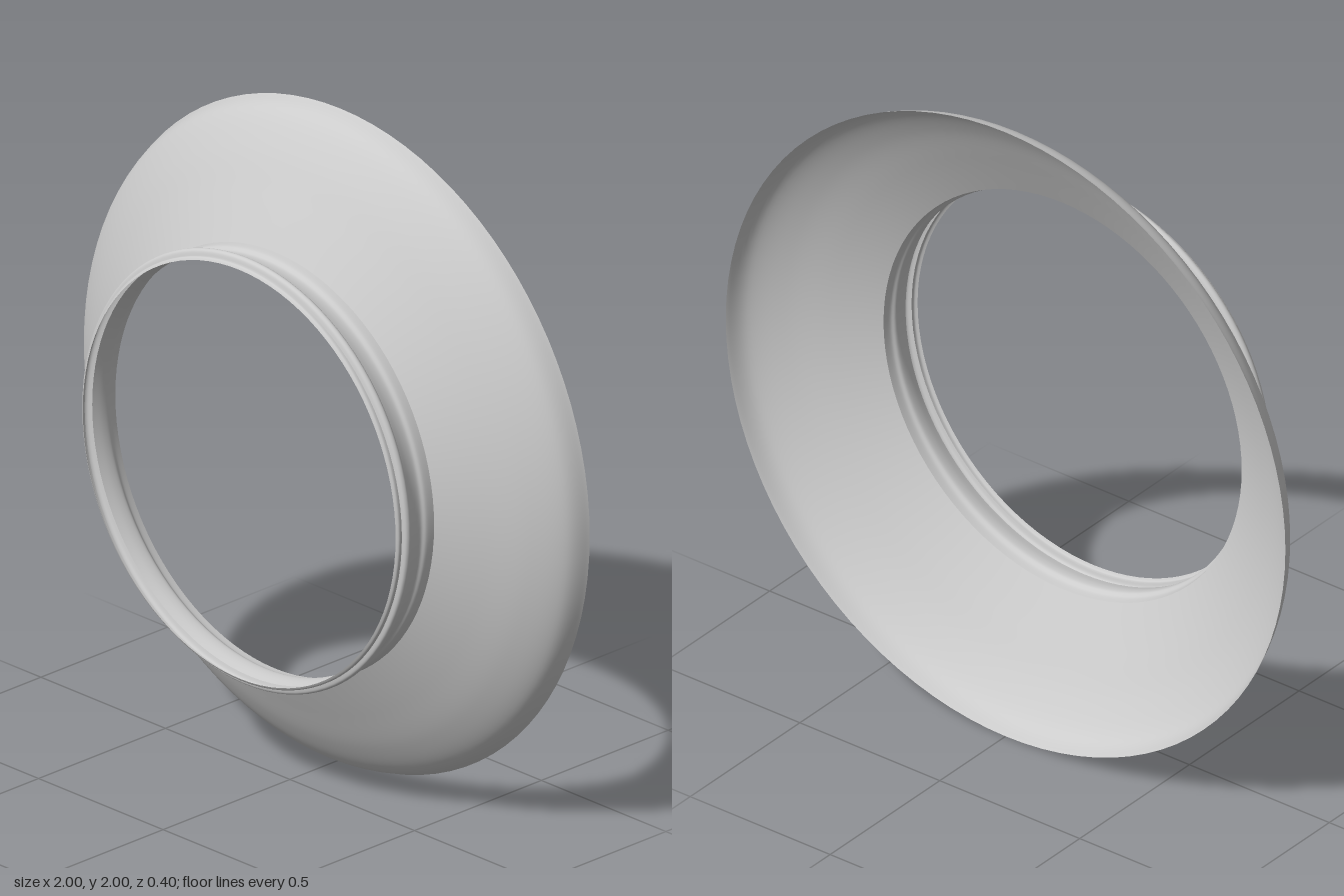
import * as THREE from 'three';

const material = new THREE.MeshStandardMaterial({ color: 0xcccccc, side: THREE.DoubleSide });

// Smooth ring turned about the z axis from [radius, z] points
function turnedRing(name, points, samples) {
  const curve = new THREE.SplineCurve(points.map(([r, z]) => new THREE.Vector2(r, z)));
  const geometry = new THREE.LatheGeometry(curve.getPoints(samples), 96);
  geometry.rotateX(Math.PI / 2);
  const mesh = new THREE.Mesh(geometry, material);
  mesh.name = name;
  mesh.position.y = 1;
  return mesh;
}

export function createModel() {
  const group = new THREE.Group();
  group.name = 'flaredRing';

  // Wide flare, rounding over towards the back rim
  group.add(turnedRing('flare', [
    [1, -0.2], [0.97, -0.14], [0.885, -0.075], [0.77, -0.01], [0.64, 0.06],
  ], 32));

  // Short neck with a shallow waist
  group.add(turnedRing('neck', [
    [0.64, 0.06], [0.636, 0.085], [0.627, 0.1], [0.628, 0.125], [0.636, 0.155],
  ], 20));

  // Raised bead around the neck
  group.add(turnedRing('bead', [
    [0.636, 0.155], [0.65, 0.16], [0.655, 0.17], [0.65, 0.18], [0.637, 0.184],
  ], 16));

  // Front lip, turned slightly inwards
  group.add(turnedRing('lip', [[0.637, 0.184], [0.636, 0.194], [0.628, 0.2]], 8));

  return group;
}
